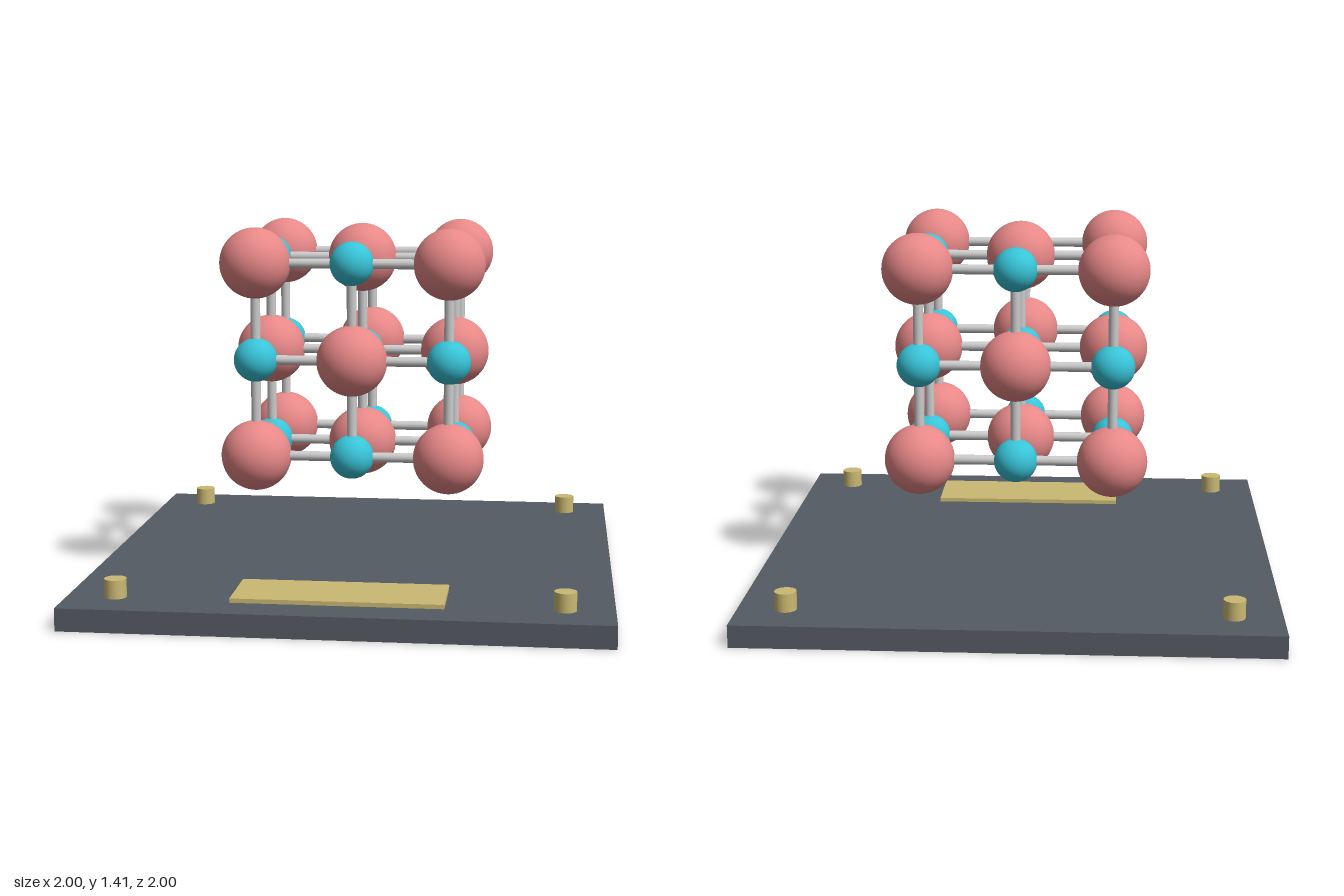
import * as THREE from 'three';

const SPACING = 0.37, CENTRE_Y = 0.91, BASE_TOP = 0.085;

export function createModel() {
  const model = new THREE.Group();
  model.name = 'crystalLatticeOnBase';
  const paint = (color) => new THREE.MeshStandardMaterial({ color });
  const slate = paint(0x555b63), brass = paint(0xcbb973);
  const salmon = paint(0xe88888), cyan = paint(0x38c4d8), grey = paint(0xcccccc);

  const add = (parent, name, geometry, material, x, y, z) => {
    const mesh = new THREE.Mesh(geometry, material);
    mesh.name = name;
    mesh.position.set(x, y, z);
    parent.add(mesh);
    return mesh;
  };

  // Base slab with a thin label plate near the front edge
  add(model, 'base', new THREE.BoxGeometry(2, BASE_TOP, 2), slate, 0, BASE_TOP / 2, 0);
  add(model, 'labelPlate', new THREE.BoxGeometry(0.78, 0.016, 0.28), brass, 0, BASE_TOP + 0.008, 0.715);

  // Four corner pegs
  const peg = new THREE.CylinderGeometry(0.041, 0.041, 0.07, 24);
  for (const x of [-0.82, 0.82])
    for (const z of [-0.82, 0.82]) add(model, 'cornerPeg', peg, brass, x, BASE_TOP + 0.035, z);

  // Lattice of alternating large and small balls, 3 x 3 x 3
  const lattice = new THREE.Group();
  lattice.name = 'lattice';
  lattice.position.y = CENTRE_Y;
  model.add(lattice);
  const largeBall = new THREE.SphereGeometry(0.135, 40, 28);
  const smallBall = new THREE.SphereGeometry(0.084, 32, 22);
  const rod = new THREE.CylinderGeometry(0.019, 0.019, SPACING, 16);
  const steps = [-1, 0, 1];

  for (const i of steps) for (const j of steps) for (const k of steps) {
    const large = (i + j + k) % 2 !== 0;
    add(lattice, large ? 'largeBall' : 'smallBall', large ? largeBall : smallBall,
      large ? salmon : cyan, i * SPACING, j * SPACING, k * SPACING);

    // Rods to the next ball along each axis
    const x = i * SPACING, y = j * SPACING, z = k * SPACING, half = SPACING / 2;
    if (i < 1) add(lattice, 'rodX', rod, grey, x + half, y, z).rotation.z = Math.PI / 2;
    if (j < 1) add(lattice, 'rodY', rod, grey, x, y + half, z);
    if (k < 1) add(lattice, 'rodZ', rod, grey, x, y, z + half).rotation.x = Math.PI / 2;
  }
  return model;
}
